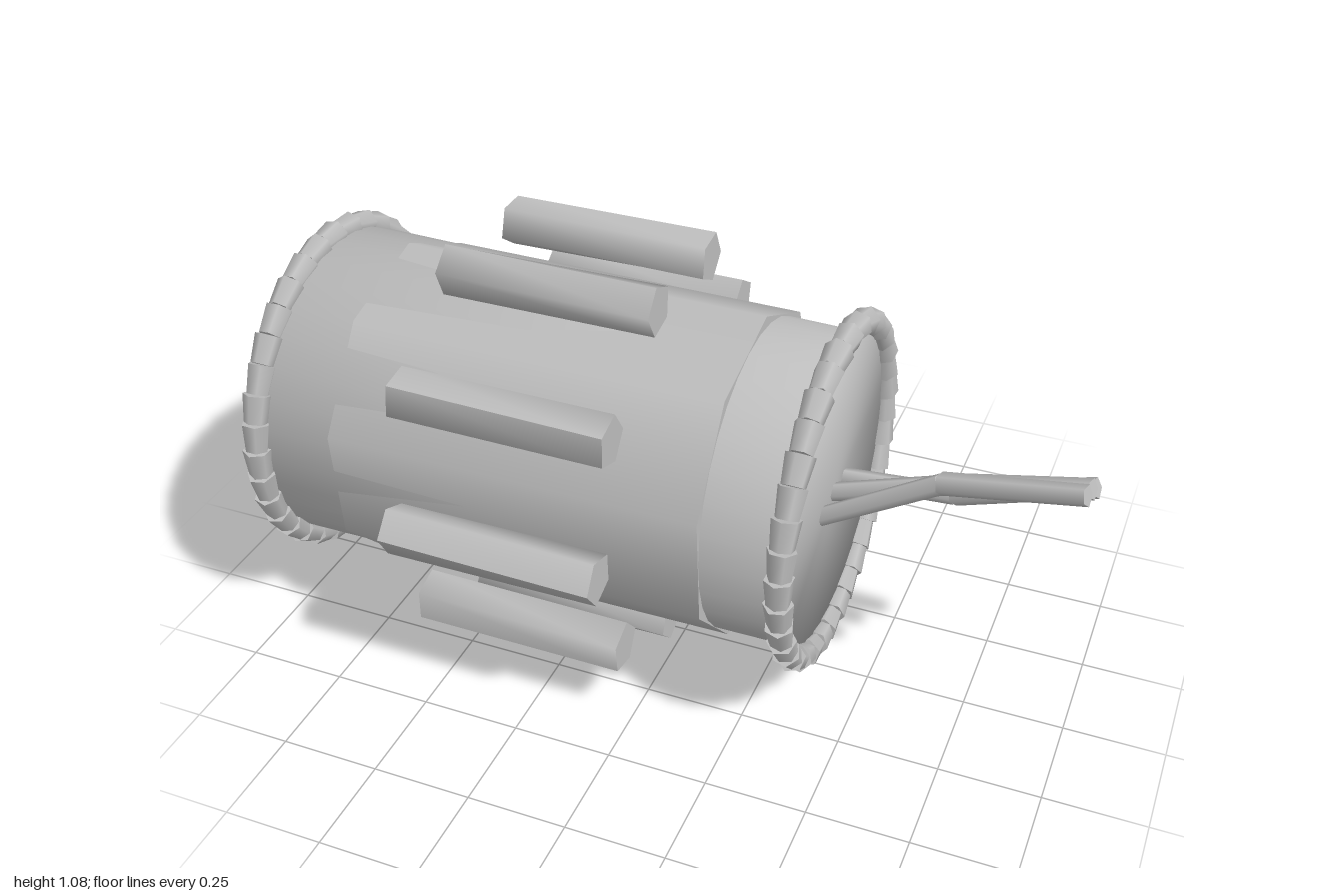
import * as THREE from 'three';

const CY = 0.552, CZ = -0.013; // barrel axis

export function createModel() {
  const model = new THREE.Group();
  const grey = new THREE.MeshStandardMaterial({ color: 0xbdbdbd });
  grey.name = 'plainGrey';

  const rad = (d) => THREE.MathUtils.degToRad(d);
  const around = (x, r, a) => new THREE.Vector3(x, CY + r * Math.sin(a), CZ + r * Math.cos(a));

  function add(name, geometry, parent = model) {
    const mesh = new THREE.Mesh(geometry, grey);
    mesh.name = name;
    parent.add(mesh);
    return mesh;
  }

  // Faceted rod running from point a to point b
  function rod(name, a, b, ra, rb, sides, parent) {
    const dir = b.clone().sub(a);
    const mesh = add(name, new THREE.CylinderGeometry(rb, ra, dir.length(), sides), parent);
    mesh.position.copy(a).add(b).multiplyScalar(0.5);
    mesh.quaternion.setFromUnitVectors(new THREE.Vector3(0, 1, 0), dir.normalize());
    return mesh;
  }

  // Barrel with softly shaded ends, tapering slightly towards +x
  const profile = [[0, -0.672], [0.4, -0.672], [0.385, 0.672], [0, 0.672]];
  const barrel = add('barrel', new THREE.LatheGeometry(
    profile.map(([r, h]) => new THREE.Vector2(r, h)), 32).rotateZ(-Math.PI / 2));
  barrel.position.set(-0.293, 0.555, CZ);
  barrel.rotation.z = -0.009;

  // Nine-sided sleeve whose corners break through the barrel between the sticks
  const sleeve = add('sleeve', new THREE.CylinderGeometry(0.414, 0.42, 0.94, 9)
    .rotateZ(-Math.PI / 2).rotateX(-rad(16)));
  sleeve.position.set(-0.29, CY, CZ);

  // Nine five-sided sticks strapped round the barrel, each with a slight twist
  const sticks = new THREE.Group();
  sticks.name = 'sticks';
  model.add(sticks);
  for (let i = 0; i < 9; i++) {
    const a = rad(-4 + 40 * i);
    const geo = new THREE.CylinderGeometry(0.064, 0.064, 0.535, 5);
    const p = geo.attributes.position;
    for (let j = 0; j < p.count; j++) {
      const v = new THREE.Vector3().fromBufferAttribute(p, j);
      v.applyAxisAngle(new THREE.Vector3(0, 1, 0), v.y * 0.25);
      p.setXYZ(j, v.x, v.y, v.z);
    }
    geo.computeVertexNormals();
    geo.rotateZ(-Math.PI / 2).rotateX(-(a + rad(6)));
    add('stick', geo, sticks).position.copy(around(-0.29, 0.487, a));
  }

  // Rope rings at both ends, made of short flared links
  const LINKS = 36;
  for (const [name, x] of [['rightRope', -0.965], ['leftRope', 0.38]]) {
    const rope = new THREE.Group();
    rope.name = name;
    model.add(rope);
    for (let i = 0; i < LINKS; i++) {
      const a = (i / LINKS) * Math.PI * 2;
      const half = Math.PI / LINKS;
      const link = rod('ropeLink', around(x, 0.412, a - half), around(x, 0.412, a + half),
        0.029, 0.036, 6, rope);
      link.rotateY(i * 0.5);
    }
  }

  // Three bent fuses fanning out of the left end: root, bend, tip
  const fuses = [
    [[0.37, 0.535, 0.08], [0.65, 0.705, 0.08], [0.98, 0.805, 0.145]],
    [[0.37, 0.55, -0.005], [0.65, 0.645, -0.005], [0.98, 0.76, 0.052]],
    [[0.37, 0.54, -0.09], [0.65, 0.56, -0.09], [0.98, 0.705, -0.035]],
  ];
  for (const pts of fuses) {
    const [root, bend, tip] = pts.map((p) => new THREE.Vector3(...p));
    const fuse = new THREE.Group();
    fuse.name = 'fuse';
    model.add(fuse);
    rod('fuseRoot', root, bend, 0.024, 0.026, 5, fuse);
    rod('fuseTip', bend, tip, 0.029, 0.026, 5, fuse);
  }

  return model;
}
